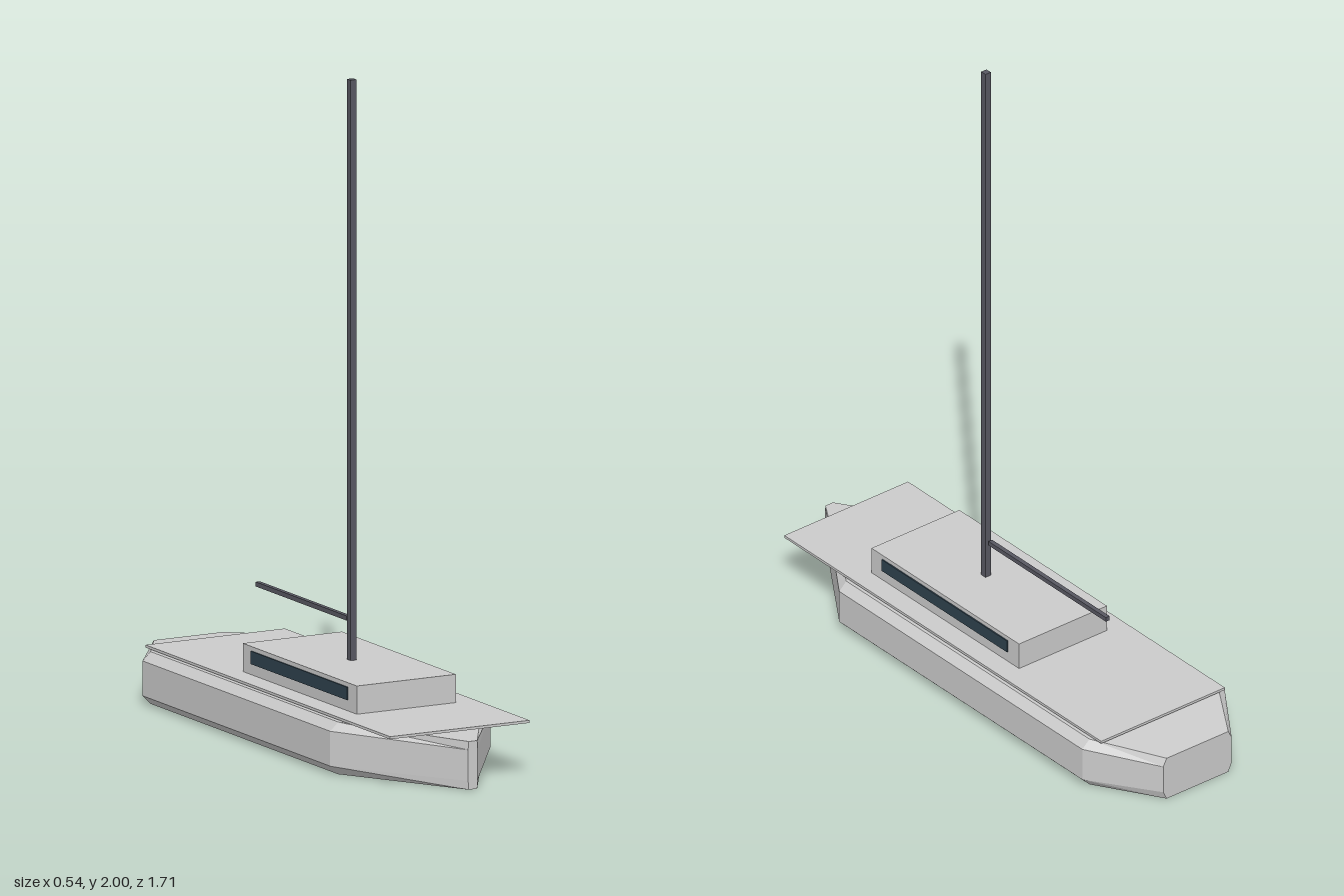
import * as THREE from 'three';

const grey = new THREE.MeshStandardMaterial({ color: 0xcccccc, flatShading: true });
const glass = new THREE.MeshStandardMaterial({ color: 0x2f424e });
const spar = new THREE.MeshStandardMaterial({ color: 0x585862 });

// Box given by its min and max corners
function box(name, material, min, max) {
  const size = max.map((v, i) => v - min[i]);
  const mesh = new THREE.Mesh(new THREE.BoxGeometry(...size), material);
  mesh.position.set(...max.map((v, i) => (v + min[i]) / 2));
  mesh.name = name;
  return mesh;
}

// Hull lofted through chamfered cross-sections, stern to bow
function hullGeometry() {
  const stations = [ // z, half width, top height
    [-0.855, 0.13, 0.14],
    [-0.65, 0.27, 0.157],
    [0.48, 0.27, 0.157],
    [0.857, 0.016, 0.145],
  ];
  const rings = stations.map(([z, w, top]) => [
    [0.9 * w, 0], [w, 0.027], [w, top - 0.025], [0.9 * w, top],
    [-0.9 * w, top], [-w, top - 0.025], [-w, 0.027], [-0.9 * w, 0],
  ].map(([x, y]) => [x, y, z]));
  const pos = [];
  const tri = (...corners) => corners.forEach((c) => pos.push(...c));
  const n = 8;
  for (let s = 0; s < rings.length - 1; s++) {
    const a = rings[s], b = rings[s + 1];
    for (let i = 0; i < n; i++) {
      const j = (i + 1) % n;
      tri(a[i], a[j], b[j]);
      tri(a[i], b[j], b[i]);
    }
  }
  // transom and stem caps
  const stern = rings[0], bow = rings[rings.length - 1];
  for (let i = 1; i < n - 1; i++) {
    tri(stern[0], stern[i + 1], stern[i]);
    tri(bow[0], bow[i], bow[i + 1]);
  }
  const geo = new THREE.BufferGeometry();
  geo.setAttribute('position', new THREE.Float32BufferAttribute(pos, 3));
  geo.computeVertexNormals();
  return geo;
}

export function createModel() {
  const boat = new THREE.Group();
  boat.name = 'sailboat';

  const hull = new THREE.Mesh(hullGeometry(), grey);
  hull.name = 'hull';
  boat.add(hull);

  // Deck plate and cabin
  boat.add(box('deck', grey, [-0.235, 0.16, -0.695], [0.235, 0.168, 0.778]));
  boat.add(box('cabin', grey, [-0.167, 0.167, -0.23], [0.167, 0.253, 0.456]));

  // Side windows
  for (const [name, s] of [['leftWindow', 1], ['rightWindow', -1]]) {
    const xs = [s * 0.164, s * 0.171].sort((a, b) => a - b);
    boat.add(box(name, glass, [xs[0], 0.201, -0.178], [xs[1], 0.24, 0.404]));
  }

  // Mast and boom
  boat.add(box('mast', spar, [-0.01, 0.253, 0.118], [0.01, 2, 0.138]));
  boat.add(box('boom', spar, [-0.007, 0.368, -0.438], [0.007, 0.382, 0.108]));

  return boat;
}
